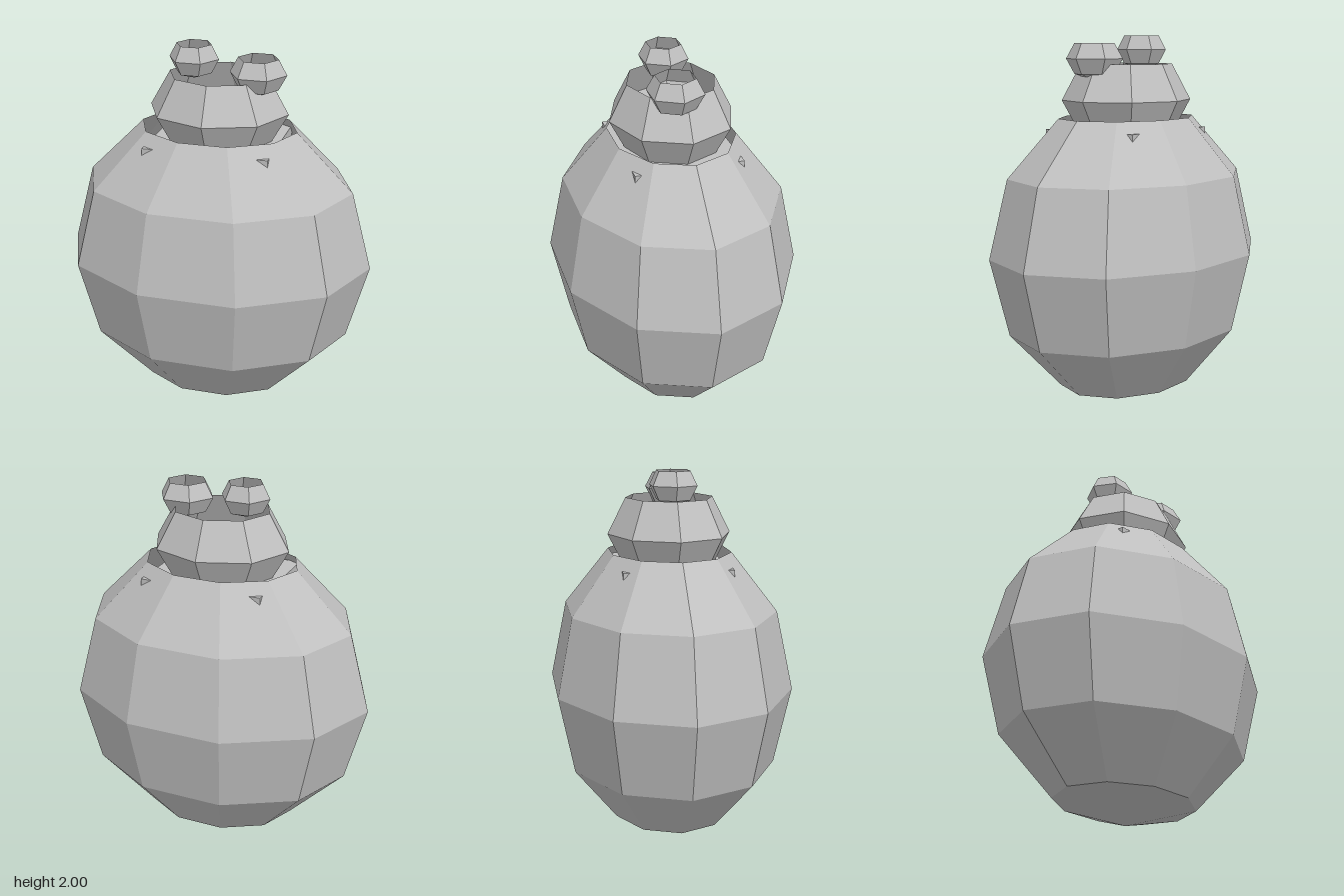
import * as THREE from 'three';

export function createModel() {
  const model = new THREE.Group();
  const grey = new THREE.MeshStandardMaterial({ color: 0xc0c0c0, flatShading: true, side: THREE.DoubleSide });
  grey.name = 'grey';

  // faceted ellipsoid whose top cap is left open
  function openBowl(name, sides, rings, radii, position) {
    const cap = Math.PI / rings;
    const geometry = new THREE.SphereGeometry(1, sides, rings - 1, 0, Math.PI * 2, cap, Math.PI - cap);
    geometry.scale(...radii);
    const mesh = new THREE.Mesh(geometry, grey);
    mesh.name = name;
    mesh.position.set(...position);
    model.add(mesh);
  }

  // large round body and the collar on top of it
  openBowl('body', 10, 6, [0.84, 0.84, 0.66], [0, 0.84, 0]);
  openBowl('collar', 8, 4, [0.374, 0.27, 0.33], [0, 1.66, 0]);

  // two small knobs on the collar
  openBowl('rightKnob', 6, 4, [0.133, 0.106, 0.133], [-0.133, 1.925, 0]);
  openBowl('leftKnob', 6, 4, [0.15, 0.113, 0.15], [0.22, 1.88, 0.045]);

  // block closing the body opening; its corners just pierce the shoulders
  const block = new THREE.Mesh(new THREE.BoxGeometry(0.666, 0.2, 0.576), grey);
  block.name = 'innerBlock';
  block.position.y = 1.407;
  model.add(block);

  return model;
}
